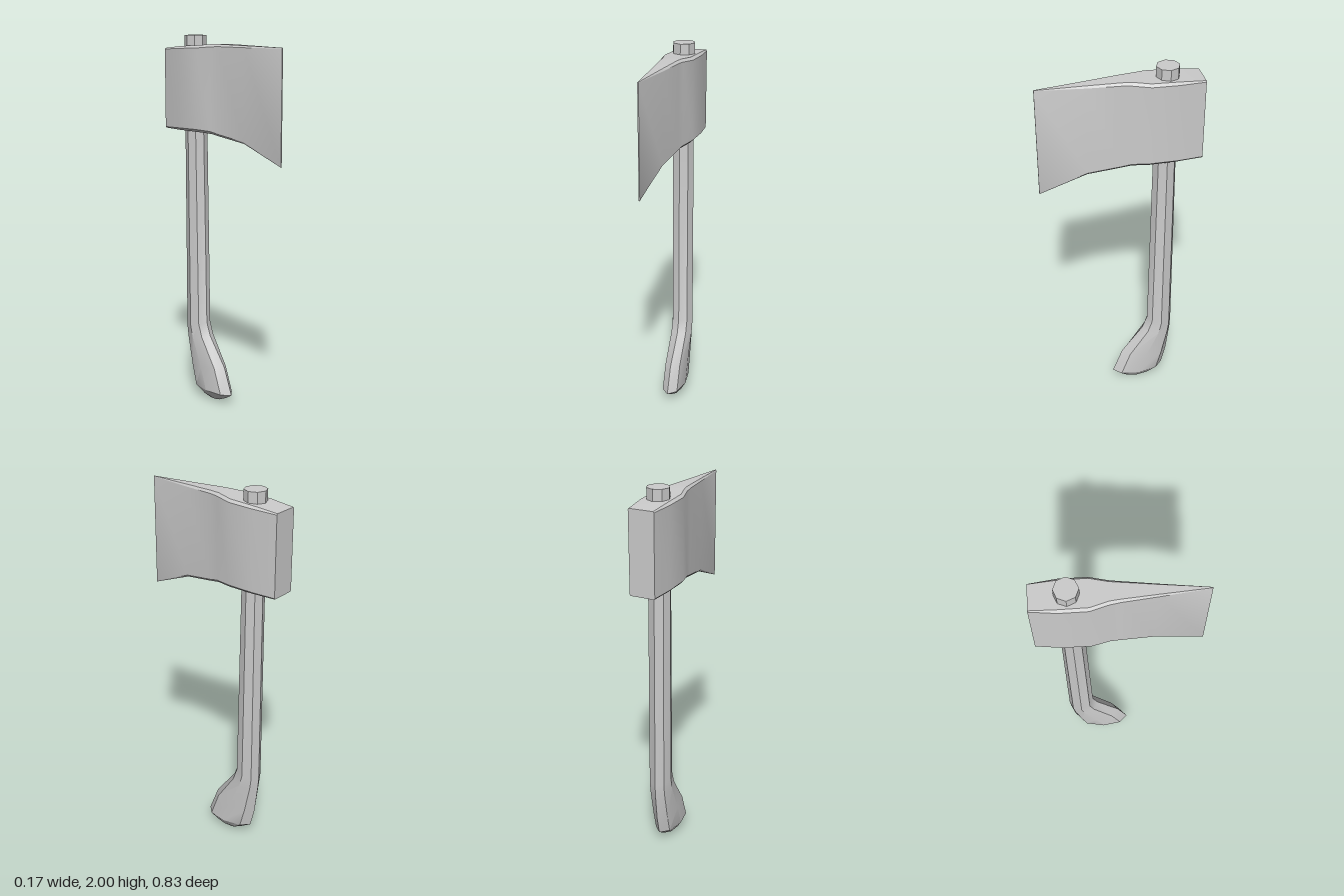
import * as THREE from 'three';
import { toCreasedNormals } from 'three/addons/utils/BufferGeometryUtils.js';

// Skins a list of rings, counter-clockwise as seen from the last ring, and caps both ends
function loft(rings, crease) {
  const pos = [];
  const tri = (a, b, c) => pos.push(...a, ...b, ...c);
  const middle = (ring) => [0, 1, 2].map((k) => ring.reduce((s, p) => s + p[k], 0) / ring.length);
  const n = rings[0].length;
  const first = rings[0];
  const last = rings[rings.length - 1];
  const c0 = middle(first);
  const c1 = middle(last);
  for (let j = 0; j < n; j++) {
    const k = (j + 1) % n;
    for (let i = 0; i < rings.length - 1; i++) {
      const [a, b, c, d] = [rings[i][j], rings[i][k], rings[i + 1][k], rings[i + 1][j]];
      tri(a, b, c);
      tri(a, c, d);
    }
    tri(c0, first[k], first[j]);
    tri(c1, last[j], last[k]);
  }
  const geometry = new THREE.BufferGeometry();
  geometry.setAttribute('position', new THREE.Float32BufferAttribute(pos, 3));
  return toCreasedNormals(geometry, crease);
}

// Octagonal handle section; front and back edges may sit at different heights
function handleRing([yFront, yBack, zFront, zBack, halfWidth, xMid]) {
  return Array.from({ length: 8 }, (_, i) => {
    const a = (i * Math.PI) / 4;
    const t = (1 - Math.sin(a)) / 2; // 0 at the back, 1 at the front
    return [
      xMid + halfWidth * Math.cos(a),
      yBack + (yFront - yBack) * t,
      zBack + (zFront - zBack) * t,
    ];
  });
}

// Head section across z: a tall box with bevelled top and bottom edges
function headRing([z, side, inner, top, bottom, bevel]) {
  const half = [[inner, bottom], [side, bottom + bevel], [side, top - bevel], [inner, top]];
  const mirrored = half.map(([x, y]) => [-x, y]).reverse();
  return [...half, ...mirrored].map(([x, y]) => [x, y, z]);
}

export function createModel() {
  const group = new THREE.Group();
  const material = new THREE.MeshStandardMaterial({ color: 0xcccccc });
  const add = (name, geometry) => {
    const mesh = new THREE.Mesh(geometry, material);
    mesh.name = name;
    group.add(mesh);
  };

  // Handle: rounded butt, flared grip, bend, straight shaft
  const handle = [
    // yFront, yBack, zFront, zBack, halfWidth, xMid
    [0.003, 0.0, -0.06, -0.14, 0.012, 0.01],
    [0.025, 0.02, -0.01, -0.18, 0.037, 0.009],
    [0.055, 0.065, 0.04, -0.25, 0.06, 0.008],
    [0.2, 0.17, -0.015, -0.275, 0.06, 0.007],
    [0.355, 0.33, -0.132, -0.294, 0.06, 0.006],
    [0.43, 0.39, -0.16, -0.298, 0.06, 0.005],
    [1.5, 1.5, -0.174, -0.293, 0.059, 0],
    [2, 2, -0.179, -0.297, 0.059, 0],
  ];
  add('handle', loft(handle.map(handleRing), 0.5));

  // Axe head: flat poll, bulged eye, long taper to the cutting edge
  const head = [
    // z, side, inner, top, bottom, bevel
    [-0.413, 0.068, 0.064, 1.93, 1.5, 0.006],
    [-0.28, 0.084, 0.071, 1.942, 1.498, 0.012],
    [-0.14, 0.084, 0.071, 1.948, 1.498, 0.014],
    [-0.05, 0.06, 0.047, 1.955, 1.492, 0.014],
    [0.0, 0.052, 0.041, 1.955, 1.483, 0.012],
    [0.17, 0.032, 0.024, 1.95, 1.458, 0.01],
    [0.413, 0.003, 0.002, 1.943, 1.36, 0.004],
  ];
  add('axeHead', loft(head.map(headRing), 0.5));

  return group;
}
